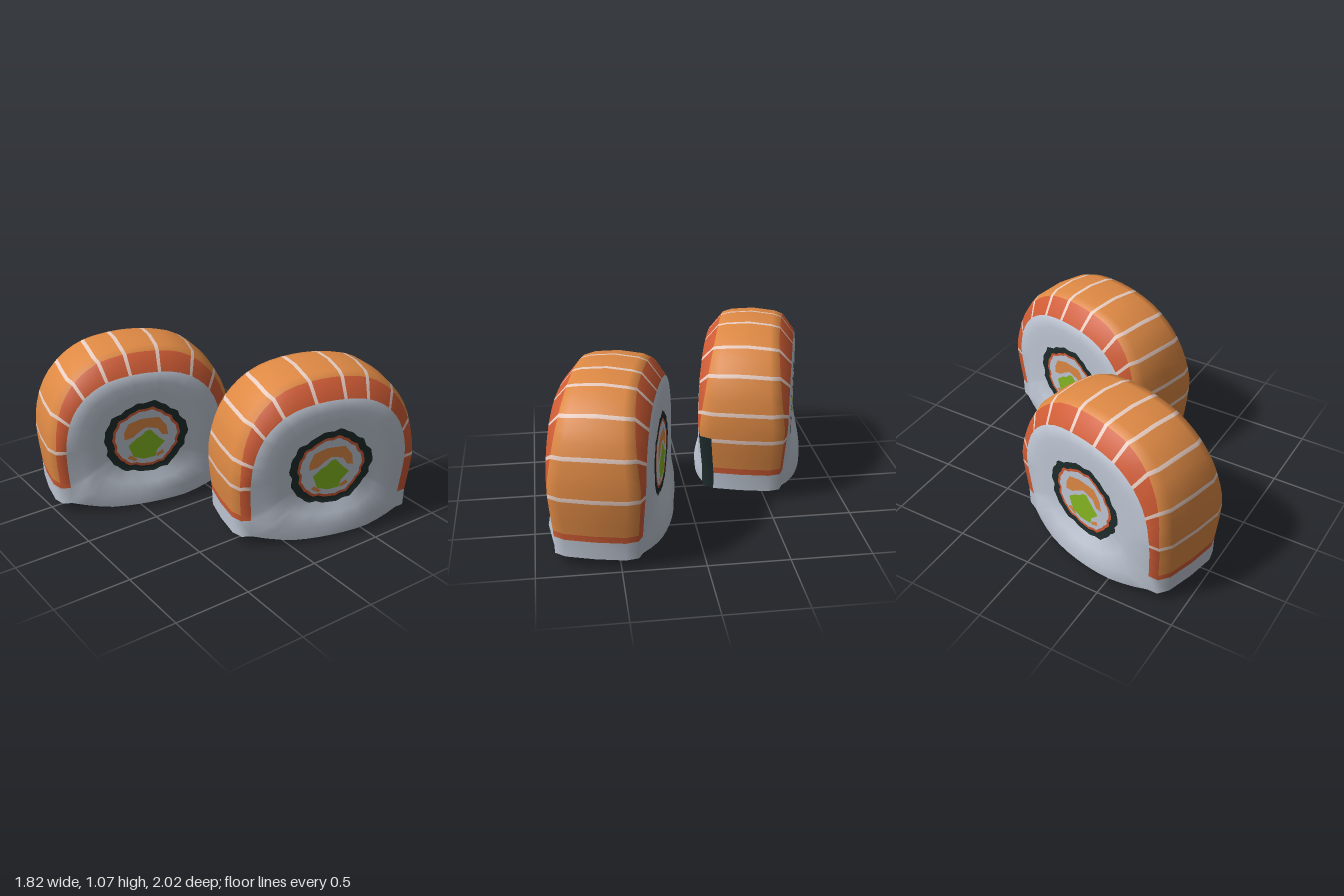
import * as THREE from 'three';

const mat = (name, color) => {
  const m = new THREE.MeshStandardMaterial({ color });
  m.name = name;
  return m;
};
const { clamp, mapLinear, smoothstep } = THREE.MathUtils;
const ramp = (v, v0, v1, a, b) => mapLinear(clamp(v, v0, v1), v0, v1, a, b);

export function createModel() {
  const M = {
    salmon: mat('salmon orange', 0xde8944),
    salmonEdge: mat('salmon red', 0xd05c35),
    fatStripe: mat('fat stripe', 0xe8cdc2),
    rice: mat('rice', 0xc0c8d5),
    seaweed: mat('seaweed', 0x1e2b2b),
    cucumber: mat('cucumber green', 0x86b822),
  };

  // Arch outline in (z, y), from the back foot over the top to the front foot
  const half = [[0.61, 0.18], [0.63, 0.45], [0.605, 0.65], [0.55, 0.8], [0.45, 0.93], [0.3, 1.025], [0.1, 1.065]];
  const arch = new THREE.CatmullRomCurve3([
    ...half.map(([z, y]) => new THREE.Vector3(0, y, -z)),
    ...half.slice().reverse().map(([z, y]) => new THREE.Vector3(0, y, z)),
  ], false, 'centripetal');

  // Positions along the arch: each fat stripe is a narrow cell between wide ones
  const stripes = [0.106, 0.204, 0.302, 0.388, 0.461, 0.551, 0.655, 0.737, 0.835, 0.906];
  const us = [0, 0.016], kinds = ['foot'];
  const advance = (to) => {
    const from = us[us.length - 1];
    for (let k = 1; k <= 3; k++) { us.push(from + (to - from) * k / 3); kinds.push('meat'); }
  };
  for (const s of stripes) {
    advance(s - 0.005);
    us.push(s + 0.005); kinds.push('stripe');
  }
  advance(0.984);
  us.push(1); kinds.push('foot');

  // Outline including the rice skirt at both feet
  const outline = us.map((u) => { const p = arch.getPointAt(u); return [p.z, p.y]; });
  outline.unshift([-0.605, 0.065]); outline.push([0.605, 0.065]);
  kinds.unshift('skirt'); kinds.push('skirt');
  const n = outline.length;

  // Stations across the thickness: x by height, width factor, height factor
  const rimX = (y) => ramp(y, 0.18, 0.5, 0.265, 0.292);
  const creaseX = (y) => (y < 0.5 ? ramp(y, 0.18, 0.5, 0.25, 0.275) : ramp(y, 0.5, 1.04, 0.275, 0.205));
  const stations = [
    [(y) => -rimX(y), 0.83, 0.77], [(y) => -creaseX(y), 0.93, 0.95], [(y) => -0.72 * creaseX(y), 0.985, 0.978],
    [() => 0, 1, 1],
    [(y) => 0.72 * creaseX(y), 0.985, 0.978], [creaseX, 0.93, 0.95], [rimX, 0.83, 0.77],
  ];
  const last = stations.length - 1;

  const pos = [], parts = {};
  const add = (x, y, z) => pos.push(x, y, z) / 3 - 1;
  const tri = (part, a, b, c) => (parts[part] ??= []).push(a, b, c);
  const quad = (part, a, b, c, d, flip) => {
    if (flip) [b, d] = [d, b];
    tri(part, a, b, c); tri(part, a, c, d);
  };

  // Salmon wrap and rice skirt
  const shell = stations.map(([x, fz, fy]) => outline.map(([z, y]) =>
    add(x(y), y > 0.45 ? 0.45 + (y - 0.45) * fy : y, z * fz)));
  for (let i = 0; i < last; i++) for (let j = 0; j < n - 1; j++) {
    const bevel = i === 0 || i === last - 1;
    let part = { skirt: 'riceSkirt', stripe: 'fatStripes', foot: 'salmonEdge', meat: bevel ? 'salmonEdge' : 'salmonWrap' }[kinds[j]];
    // loose end of the seaweed on one front corner
    if (i < 2 && (j === n - 2 || us[j - 1] > 0.9)) part = 'seaweedEnd';
    quad(part, shell[i][j], shell[i][j + 1], shell[i + 1][j + 1], shell[i + 1][j]);
  }

  // Seaweed underside, bulging at the faces and downwards
  const nb = 12;
  const floorPoint = (i, k) => {
    const s = 1 - 2 * k / nb, round = 1 - s * s;
    const x = stations[i][0](0.065), edge = i === 0 || i === last;
    return [x + (edge ? Math.sign(x) * 0.1 * round : 0),
      0.065 - (edge ? 0.04 : 0.065) * Math.min(1, round * 1.3), s * 0.605 * stations[i][1]];
  };
  const floor = stations.map((_, i) => Array.from({ length: nb + 1 }, (_, k) => add(...floorPoint(i, k))));
  for (let i = 0; i < last; i++) for (let k = 0; k < nb; k++)
    quad('seaweedBase', floor[i][k], floor[i][k + 1], floor[i + 1][k + 1], floor[i + 1][k]);

  // Cut faces: nearly flat around the filling, swelling out towards the base
  const cy = 0.477, flatX = 0.302;
  const faceX = (y, z) => flatX + 0.062 * (1 - smoothstep(y, 0.08, 0.3)) * (1 - (z / 0.55) ** 2);
  const wobble = (a, k) => 1 + k * (Math.sin(5 * a + 1) + 0.7 * Math.sin(11 * a) + 0.8 * Math.sin(18 * a + 2));
  const rings = [[0.277, 0.25, 0.026], [0.224, 0.208, 0.024], [0.206, 0.19, 0.024]];
  for (const side of [-1, 1]) {
    const st = side < 0 ? 0 : last;
    const rim = [...shell[st]];
    for (let k = 1; k < nb; k++) rim.push(add(...floorPoint(st, k)));
    const angle = rim.map((v) => Math.atan2(pos[v * 3 + 1] - cy, -side * pos[v * 3 + 2]));
    const loops = rings.map(([rz, ry, k]) => angle.map((a) => {
      const w = wobble(a, k);
      return add(side * flatX, cy + ry * w * Math.sin(a), -side * rz * w * Math.cos(a));
    }));
    const between = [0.35, 0.7].map((t) => rim.map((v, j) => {
      const o = loops[0][j] * 3;
      const y = pos[v * 3 + 1] * (1 - t) + pos[o + 1] * t, z = pos[v * 3 + 2] * (1 - t) + pos[o + 2] * t;
      return add(side * faceX(y, z), y, z);
    }));
    const all = [rim, ...between, ...loops];
    const names = ['riceFace', 'riceFace', 'riceFace', 'seaweedRing', 'fillingRing'];
    const centre = add(side * flatX, cy, 0);
    for (let j = 0; j < rim.length; j++) {
      const j2 = (j + 1) % rim.length;
      names.forEach((name, r) => quad(name, all[r][j], all[r][j2], all[r + 1][j2], all[r + 1][j], side < 0));
      const [p, q] = side > 0 ? [j, j2] : [j2, j];
      tri('riceFace', all[5][p], all[5][q], centre);
    }
  }

  // All parts share the same smooth vertices
  const whole = new THREE.BufferGeometry();
  whole.setAttribute('position', new THREE.Float32BufferAttribute(pos, 3));
  whole.setIndex(Object.values(parts).flat());
  whole.computeVertexNormals();
  const partMaterial = {
    salmonWrap: M.salmon, salmonEdge: M.salmonEdge, fatStripes: M.fatStripe, riceSkirt: M.rice, riceFace: M.rice,
    seaweedEnd: M.seaweed, seaweedBase: M.seaweed, seaweedRing: M.seaweed, fillingRing: M.salmonEdge,
  };

  // Filling pieces as thin plates: outline offsets from the middle of the face, and height
  const plates = [
    ['salmonFilling', M.salmon, 0.003, [[-0.145, 0.005], [-0.145, 0.055], [-0.115, 0.115], [-0.03, 0.14], [0.09, 0.135], [0.14, 0.07], [0.15, 0], [0.11, 0.005], [0.08, 0.055], [0, 0.075], [-0.05, 0.045], [-0.09, 0.015]]],
    ['cucumber', M.cucumber, 0.005, [[-0.12, -0.04], [-0.09, -0.125], [-0.02, -0.15], [0.06, -0.145], [0.07, -0.1], [0.125, -0.045], [0.085, -0.01], [0.03, 0.055], [0, 0.05], [-0.03, 0.02], [-0.065, 0.005]]],
    ['fillingCrumb', M.salmon, 0.003, [[-0.13, -0.13], [-0.08, -0.16], [-0.06, -0.15], [-0.11, -0.11]]],
    ['fillingCrumb', M.salmon, 0.003, [[0.07, -0.15], [0.12, -0.13], [0.11, -0.105], [0.065, -0.13]]],
  ];

  const makeRoll = (name) => {
    const roll = new THREE.Group();
    roll.name = name;
    for (const [part, index] of Object.entries(parts)) {
      const g = new THREE.BufferGeometry();
      g.setAttribute('position', whole.attributes.position);
      g.setAttribute('normal', whole.attributes.normal);
      g.setIndex(index);
      const mesh = new THREE.Mesh(g, partMaterial[part]);
      mesh.name = part;
      roll.add(mesh);
    }
    for (const side of [-1, 1]) for (const [part, material, lift, pts] of plates) {
      const shape = new THREE.Shape(pts.map(([a, b]) => new THREE.Vector2(a, b)));
      const mesh = new THREE.Mesh(new THREE.ShapeGeometry(shape), material);
      mesh.name = part;
      mesh.position.set(side * (flatX + lift), cy, 0);
      mesh.rotation.y = side * Math.PI / 2;
      roll.add(mesh);
    }
    return roll;
  };

  // Two equal rolls, turned half a circle from each other
  const model = new THREE.Group();
  model.name = 'sushiRolls';
  for (const s of [1, -1]) {
    const roll = makeRoll(s > 0 ? 'leftRoll' : 'rightRoll');
    roll.position.set(s * 0.495, 0, s * -0.36);
    roll.rotation.y = -0.26 + (s < 0 ? Math.PI : 0);
    model.add(roll);
  }
  return model;
}
